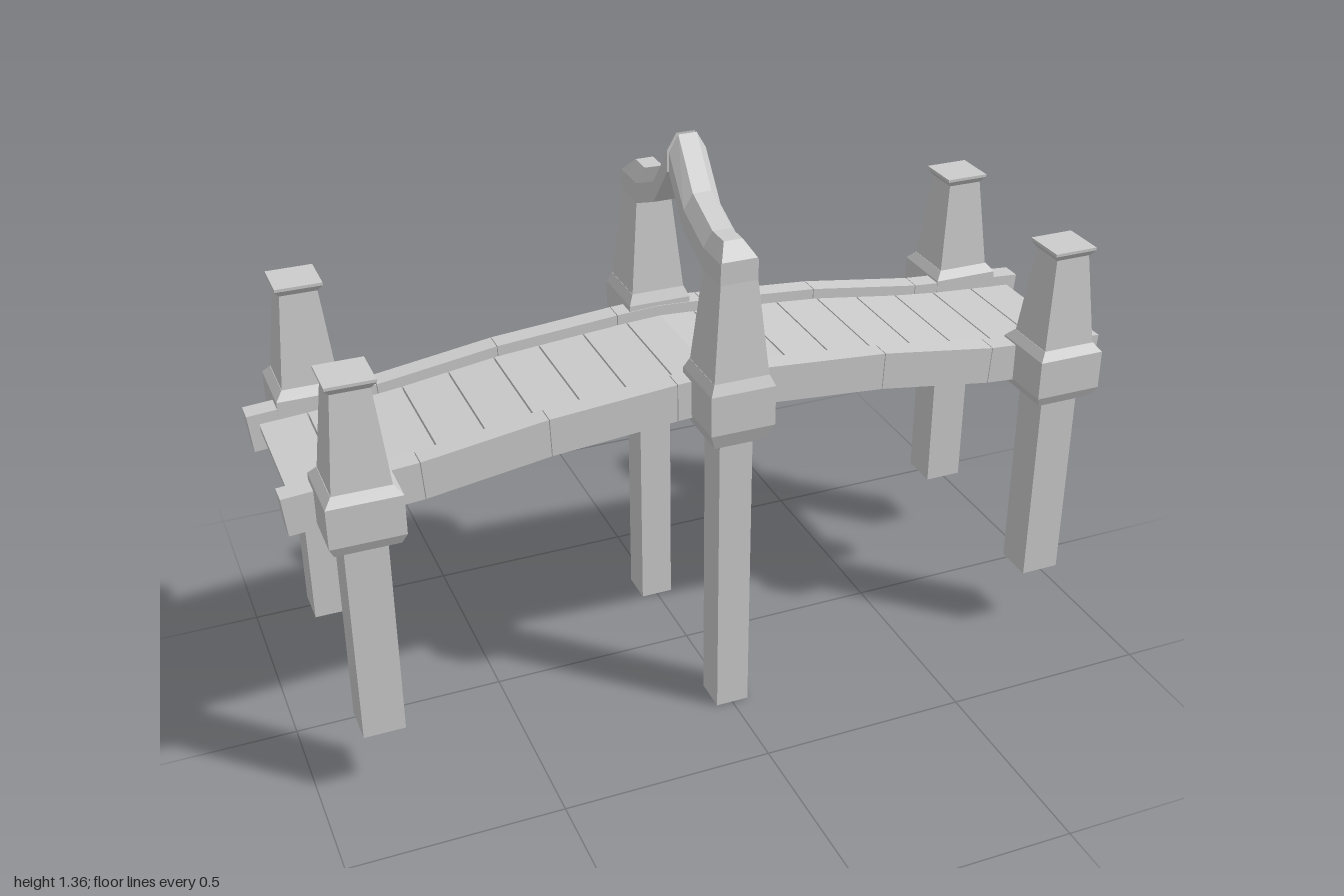
import * as THREE from 'three';

const material = new THREE.MeshStandardMaterial({ color: 0xcccccc, flatShading: true });

// Skin a list of equal-length rings (counter-clockwise seen from the travel end) and cap both ends.
function loft(name, rings) {
  const pos = [];
  const tri = (a, b, c) => pos.push(...a, ...b, ...c);
  const n = rings[0].length;
  for (let r = 0; r + 1 < rings.length; r++) {
    const a = rings[r], b = rings[r + 1];
    for (let i = 0; i < n; i++) {
      const j = (i + 1) % n;
      tri(a[i], a[j], b[j]);
      tri(a[i], b[j], b[i]);
    }
  }
  const first = rings[0], last = rings[rings.length - 1];
  for (let i = 1; i + 1 < n; i++) {
    tri(first[0], first[i + 1], first[i]);
    tri(last[0], last[i], last[i + 1]);
  }
  const geometry = new THREE.BufferGeometry();
  geometry.setAttribute('position', new THREE.Float32BufferAttribute(pos, 3));
  geometry.computeVertexNormals();
  const mesh = new THREE.Mesh(geometry, material);
  mesh.name = name;
  return mesh;
}

// Stack of rectangular sections [y, halfX, halfZ]
const stack = (name, sections) => loft(name, sections.map(([y, w, d = w]) =>
  [[w, y, d], [w, y, -d], [-w, y, -d], [-w, y, d]]));

// Height of the rail top along the gently bowed bridge
const CURVE = [[0, 0.862], [0.11, 0.856], [0.41, 0.832], [0.7, 0.79], [1, 0.768]];
function railTop(x) {
  const ax = Math.min(Math.abs(x), 1);
  let i = 0;
  while (i < CURVE.length - 2 && ax > CURVE[i + 1][0]) i++;
  const [x0, y0] = CURVE[i], [x1, y1] = CURVE[i + 1];
  return y0 + (y1 - y0) * (ax - x0) / (x1 - x0);
}

// Bar running along x, following the bow
function bar(name, xs, z0, z1, drop, thick) {
  return loft(name, xs.map(x => {
    const hi = railTop(x) - drop, lo = hi - thick, xb = x * (1 - thick * 0.1);
    return [[xb, lo, z0], [x, hi, z0], [x, hi, z1], [xb, lo, z1]];
  }));
}

function cornerPost() {
  const g = new THREE.Group();
  g.name = 'cornerPost';
  g.add(
    stack('cornerLeg', [[0.17, 0.048], [0.7, 0.048]]),
    stack('cornerCollar', [[0.67, 0.072], [0.695, 0.083], [0.79, 0.083], [0.81, 0.066]]),
    stack('cornerShaft', [[0.8, 0.066], [1.03, 0.043]]),
    stack('cornerCap', [[1.03, 0.043], [1.045, 0.054], [1.052, 0.054]]),
  );
  return g;
}

function centrePost() {
  const g = new THREE.Group();
  g.name = 'centrePost';
  g.add(
    stack('centreLeg', [[0, 0.04, 0.043], [0.76, 0.04, 0.043]]),
    stack('centreCollar', [[0.735, 0.062, 0.066], [0.775, 0.077, 0.081], [0.872, 0.077, 0.081], [0.897, 0.066, 0.07]]),
    stack('centreShaft', [[0.89, 0.066, 0.07], [1.12, 0.044, 0.048]]),
  );
  return g;
}

// Half of the pointed arch: [z, underside, shoulder, ridge]
function archHalf() {
  const w = 0.044, t = 0.022;
  return loft('archHalf', [
    [0.006, 1.268, 1.318, 1.357], [0.09, 1.165, 1.215, 1.25], [0.2, 1.12, 1.17, 1.205],
    [0.26, 1.12, 1.17, 1.205], [0.296, 1.12, 1.168, 1.172],
  ].map(([z, a, b, c], i) => {
    const s = i === 4 ? w * 0.95 : t;
    return [[-w, a, z], [w, a, z], [w, b, z], [s, c, z], [-s, c, z], [-w, b, z]];
  }));
}

export function createModel() {
  const model = new THREE.Group();
  model.name = 'footbridge';

  // Each side is the same half turned about the vertical axis
  for (const turn of [0, Math.PI]) {
    const side = new THREE.Group();
    side.name = turn ? 'backSide' : 'frontSide';
    side.rotation.y = turn;
    for (const x of [-0.847, 0.847]) {
      const post = cornerPost();
      post.position.set(x, 0, 0.247);
      side.add(post);
    }
    const centre = centrePost();
    centre.position.z = 0.248;
    side.add(centre, archHalf());

    // Side rail in butted lengths
    const cuts = [-1, -0.7, -0.41, -0.11, 0.11, 0.41, 0.7, 1];
    for (let i = 0; i + 1 < cuts.length; i++) {
      const a = cuts[i] + (i ? 0.001 : 0), b = cuts[i + 1] - (i < 6 ? 0.001 : 0);
      side.add(bar('railLength', i === 3 ? [a, 0, b] : [a, b], 0.165, 0.215, 0, 0.092));
    }
    model.add(side);
  }

  // Deck planks with hairline gaps
  const step = 0.111, middle = 0.087, gap = 0.002;
  model.add(bar('middlePlank', [-middle + gap, 0, middle - gap], -0.166, 0.166, 0.026, 0.02));
  for (let i = 0; i < 8; i++) {
    const a = middle + i * step + gap, b = middle + (i + 1) * step - gap;
    model.add(bar('plank', [a, b], -0.166, 0.166, 0.026, 0.02));
    model.add(bar('plank', [-b, -a], -0.166, 0.166, 0.026, 0.02));
  }
  return model;
}
